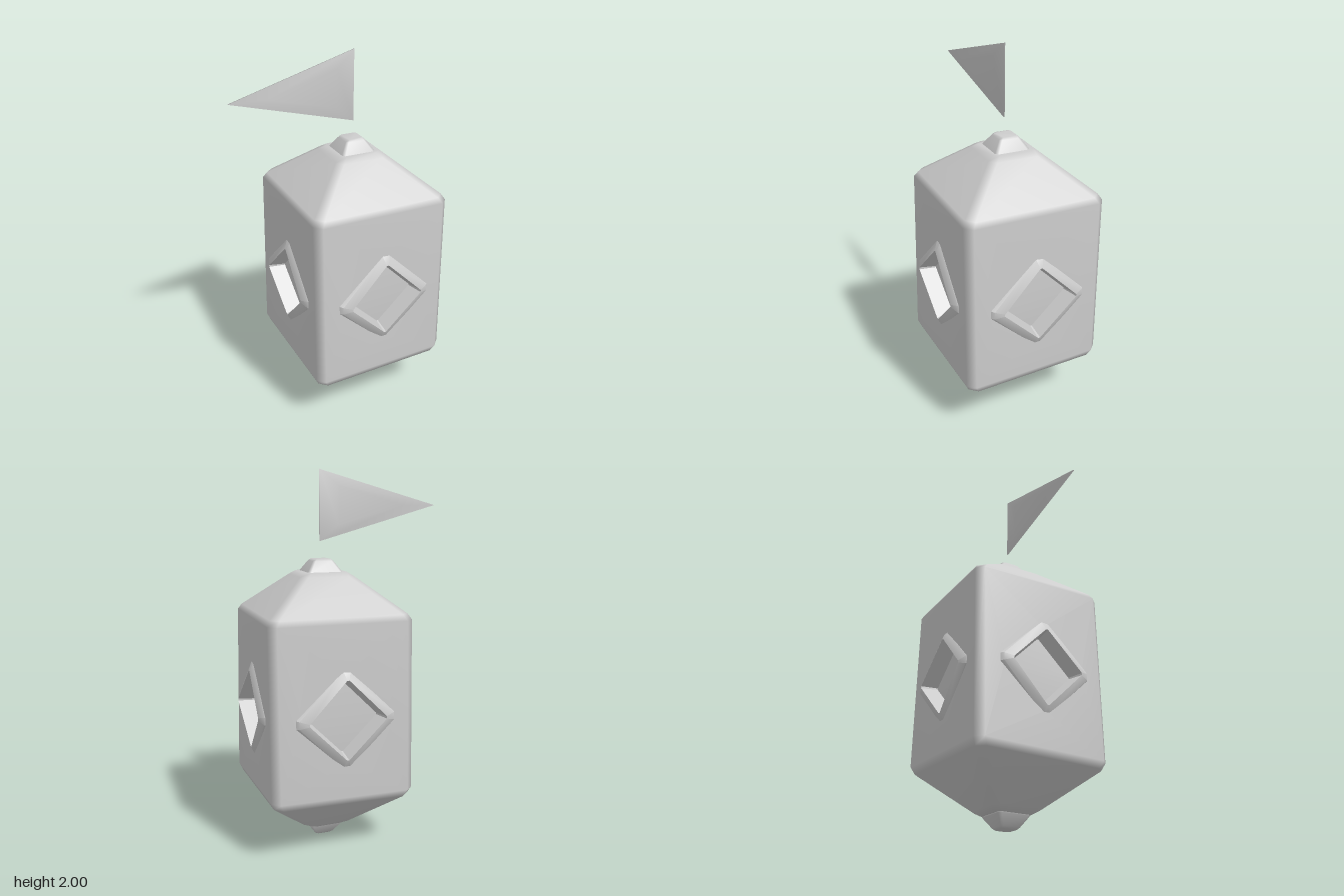
import * as THREE from 'three';
import { toCreasedNormals } from 'three/addons/utils/BufferGeometryUtils.js';

const CX = 0.128; // axis of the lantern body

// Skin equal-length loops of points; panelHole cuts a diamond in the even faces of one band.
function loft(rings, { start = false, end = true, panelHole = null } = {}) {
  const n = rings[0].length;
  const pos = rings.flat(2);
  const idx = [];
  const add = (p) => (pos.push(...p), pos.length / 3 - 1);
  for (let r = 0; r < rings.length - 1; r++) {
    for (let i = 0; i < n; i++) {
      const j = (i + 1) % n;
      const [bl, br, tr, tl] = [r * n + i, r * n + j, (r + 1) * n + j, (r + 1) * n + i];
      if (panelHole && r === panelHole.band && i % 2 === 0) {
        const P = (k) => new THREE.Vector3().fromArray(pos, k * 3);
        const at = (u, v) => P(bl).lerp(P(br), u).lerp(P(tl).lerp(P(tr), u), v).toArray();
        const { u, v, v0 } = panelHole;
        const [B, R, T, L] = [[0.5, v0 - v], [0.5 + u, v0], [0.5, v0 + v], [0.5 - u, v0]].map((q) => add(at(...q)));
        idx.push(bl, br, B, br, R, B, br, tr, R, tr, T, R, tr, tl, T, tl, L, T, tl, bl, L, bl, B, L);
      } else idx.push(bl, br, tr, bl, tr, tl);
    }
  }
  const last = (rings.length - 1) * n;
  for (let i = 1; i < n - 1; i++) {
    if (start) idx.push(0, i + 1, i);
    if (end) idx.push(last, last + i, last + i + 1);
  }
  const g = new THREE.BufferGeometry();
  g.setAttribute('position', new THREE.Float32BufferAttribute(pos, 3));
  g.setIndex(idx);
  g.computeVertexNormals();
  return g;
}

// Square loop with cut corners, slightly twisted with height.
function squareRing(y, half, cut, lean = 0) {
  const pts = [];
  for (let k = 0; k < 4; k++) {
    const a = (k * Math.PI) / 2 - 0.03 * y;
    for (const s of [-1, 1]) {
      const t = s * (half - cut);
      const x = Math.sin(a) * half + Math.cos(a) * t;
      const z = Math.cos(a) * half - Math.sin(a) * t;
      pts.push([x, y + lean * (x - z), z - 0.006 * y]);
    }
  }
  return pts;
}

// Diamond loop with cut tips, facing +z, sinking a little at top and bottom.
function diamondRing(radius, cut, z) {
  const pts = [];
  for (let k = 0; k < 4; k++) {
    const a = (k * Math.PI) / 2;
    for (const s of [-1, 1]) {
      const x = Math.cos(a) * radius - Math.sin(a) * s * cut;
      const y = Math.sin(a) * radius + Math.cos(a) * s * cut;
      pts.push([x, y, z - 0.06 * Math.abs(y)]);
    }
  }
  return pts;
}

export function createModel() {
  const model = new THREE.Group();
  const grey = new THREE.MeshStandardMaterial({ color: 0xcccccc });
  grey.name = 'lightGrey';
  const part = (name, geometry, parent = model) => {
    const m = new THREE.Mesh(geometry, grey);
    m.name = name;
    parent.add(m);
    return m;
  };

  // Body: square prism tapering at both ends, with softened edges
  const body = loft([
    squareRing(0.07, 0.10, 0.03),
    squareRing(0.095, 0.14, 0.035),
    squareRing(0.295, 0.37, 0.04, 0.02),
    squareRing(0.335, 0.388, 0.04, 0.02),
    squareRing(1.245, 0.38, 0.04),
    squareRing(1.275, 0.362, 0.04),
    squareRing(1.455, 0.145, 0.035),
    squareRing(1.475, 0.115, 0.03),
  ], { start: true, panelHole: { band: 3, u: 0.33, v: 0.25, v0: 0.464 } });
  part('body', body).position.x = CX;

  // Knobs on the top and bottom
  const topKnob = loft([
    squareRing(1.46, 0.096, 0.015),
    squareRing(1.475, 0.094, 0.015),
    squareRing(1.53, 0.056, 0.012),
    squareRing(1.54, 0.045, 0.012),
  ]);
  part('topKnob', topKnob).position.x = CX;
  const bottomKnob = loft([
    squareRing(0, 0.045, 0.012),
    squareRing(0.01, 0.056, 0.012),
    squareRing(0.065, 0.094, 0.015),
    squareRing(0.085, 0.096, 0.015),
  ], { start: true });
  part('bottomKnob', bottomKnob).position.x = CX;

  // Raised diamond window frames with recessed floors, one per side
  const frame = toCreasedNormals(loft([
    diamondRing(0.272, 0.022, 0.375),
    diamondRing(0.255, 0.02, 0.396),
    diamondRing(0.208, 0.006, 0.414),
    diamondRing(0.186, 0.004, 0.325),
  ]), 0.6);
  ['front', 'left', 'back', 'right'].forEach((side, k) => {
    const m = part(side + 'WindowFrame', frame);
    m.position.set(CX, 0.757, -0.004);
    m.rotation.y = (k * Math.PI) / 2;
  });

  // Floating pennant: thin triangle, swollen in the middle
  const tri = [[-0.545, 1.815], [0.13, 1.63], [0.13, 2.0]];
  const triRing = (scale, z) => tri.map(([x, y]) => [-0.095 + (x + 0.095) * scale, 1.815 + (y - 1.815) * scale, z]);
  part('pennant', loft([
    triRing(0.55, -0.014), triRing(1, -0.003), triRing(1, 0.003), triRing(0.55, 0.014),
  ], { start: true }));

  return model;
}
